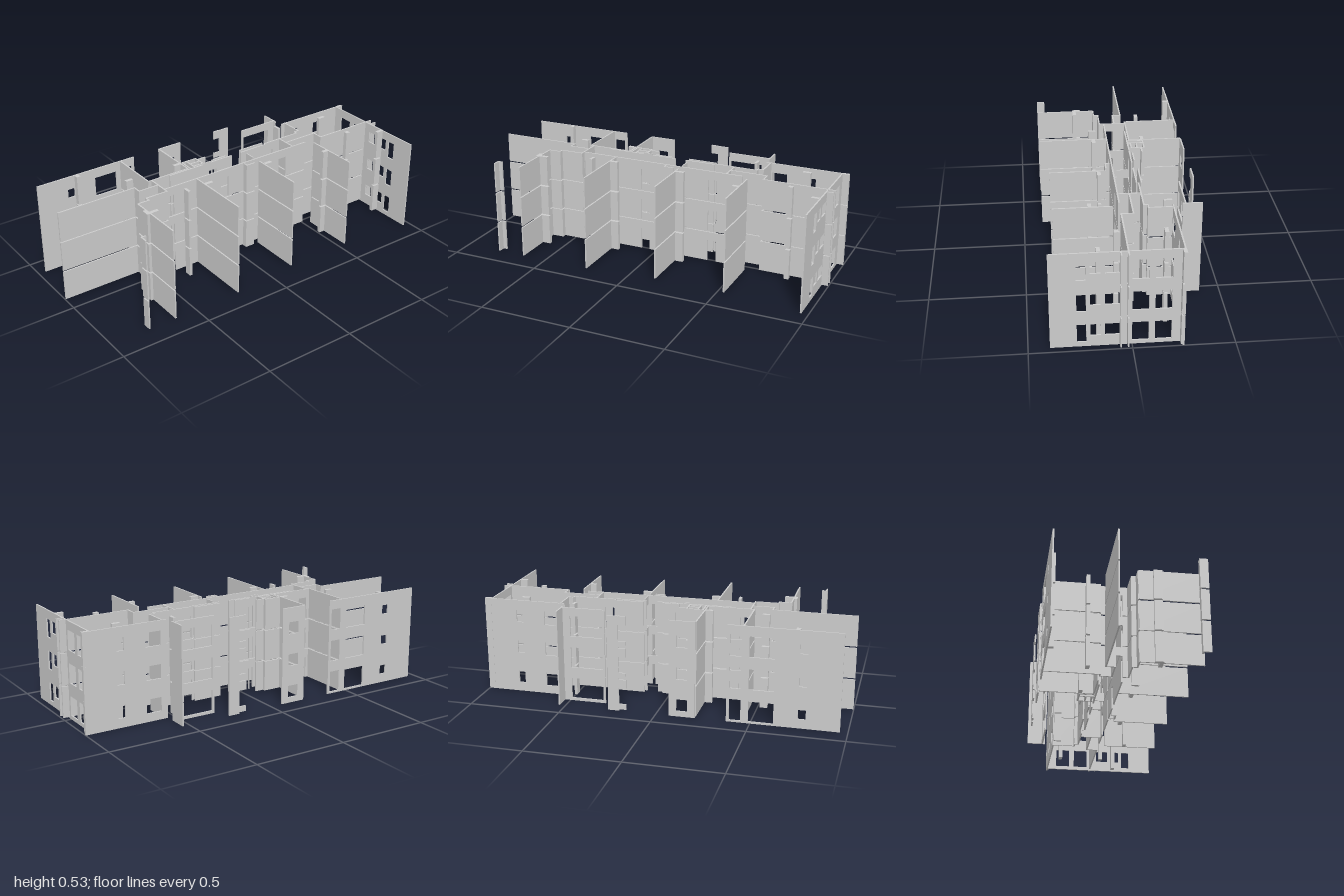
import * as THREE from 'three';

const T = 0.008;                       // wall thickness
const TOP = 0.522;                     // overall wall height
const PITCH = 0.1745, BASE = 0.008, STOREY = 0.166;
const DOOR = 0.118;                    // door height above the storey base
const material = new THREE.MeshStandardMaterial({ color: 0xcccccc, flatShading: true });

export function createModel() {
  const model = new THREE.Group();
  model.name = 'apartmentBlockWalls';

  function add(name, geometry) {
    const mesh = new THREE.Mesh(geometry, material);
    mesh.name = name;
    model.add(mesh);
    return mesh;
  }

  // Stand a wall outline along x (at a fixed z) or along z (at a fixed x)
  function stand(name, axis, at, shape, y) {
    const g = new THREE.ExtrudeGeometry(shape, { depth: T, bevelEnabled: false });
    g.translate(0, y, -T / 2);
    if (axis === 'z') g.rotateY(-Math.PI / 2);
    g.translate(axis === 'z' ? at : 0, 0, axis === 'x' ? at : 0);
    add(name, g);
  }

  // Continuous outer wall; each opening [from, to, sill, head] repeats per storey
  function outerWall(name, axis, at, a, b, openings = []) {
    const s = new THREE.Shape();
    s.moveTo(a, 0).lineTo(b, 0).lineTo(b, TOP).lineTo(a, TOP).closePath();
    for (let k = 0; k < 3; k++) {
      for (const [p, q, lo, hi] of openings) {
        const y = k * PITCH, h = new THREE.Path();
        h.moveTo(p, y + lo).lineTo(p, y + hi).lineTo(q, y + hi).lineTo(q, y + lo).closePath();
        s.holes.push(h);
      }
    }
    stand(name, axis, at, s, 0);
  }

  // Inner wall: one panel per storey, with door notches [from, to] in ascending order
  function innerWall(name, axis, at, a, b, doors = []) {
    for (let k = 0; k < 3; k++) {
      const s = new THREE.Shape();
      s.moveTo(a, 0);
      for (const [p, q] of doors) s.lineTo(p, 0).lineTo(p, DOOR).lineTo(q, DOOR).lineTo(q, 0);
      s.lineTo(b, 0).lineTo(b, STOREY).lineTo(a, STOREY).closePath();
      stand(name, axis, at, s, BASE + k * PITCH);
    }
  }

  // Box repeated on every storey
  function storeyBox(name, x0, x1, z0, z1, lo = 0, hi = STOREY) {
    for (let k = 0; k < 3; k++) {
      add(name, new THREE.BoxGeometry(x1 - x0, hi - lo, z1 - z0))
        .position.set((x0 + x1) / 2, BASE + k * PITCH + (lo + hi) / 2, (z0 + z1) / 2);
    }
  }

  // Outer walls
  outerWall('backWall', 'x', -0.96, -0.249, 0.395, [
    [-0.19, -0.11, 0.02, 0.125], [-0.08, 0.0, 0.02, 0.125],
    [0.06, 0.13, 0.06, 0.125], [0.15, 0.2, 0.06, 0.125], [0.22, 0.265, 0.025, 0.125],
  ]);
  outerWall('backSideWall', 'z', -0.245, -1, -0.54, [
    [-0.82, -0.78, 0.05, 0.118], [-0.66, -0.575, 0.045, 0.12],
  ]);
  outerWall('frontSideWall', 'z', -0.392, 0.375, 0.96, [
    [0.39, 0.45, 0.01, 0.125], [0.49, 0.62, 0.01, 0.12], [0.745, 0.785, 0.05, 0.1],
  ]);
  outerWall('middleSideWall', 'z', -0.392, 0.07, 0.21, [[0.11, 0.17, 0.03, 0.095]]);
  outerWall('bayWall', 'z', -0.31, -0.53, -0.3, [[-0.49, -0.312, 0.015, 0.128]]);
  outerWall('bayReturnWall', 'x', -0.535, -0.396, -0.295);

  // Narrow outer pier with stepped window edges
  outerWall('pierWall', 'z', -0.392, -0.26, -0.2);
  storeyBox('pierLintel', -0.396, -0.388, -0.2, -0.16, 0.118, STOREY);
  storeyBox('pierSill', -0.396, -0.388, -0.2, -0.16, 0, 0.03);

  // Corridor walls
  innerWall('corridorRightWall', 'z', 0.02, -0.5, -0.13, [[-0.36, -0.31]]);
  innerWall('corridorRightWall', 'z', 0.02, -0.115, 0.44, [[0.035, 0.085], [0.385, 0.435]]);
  storeyBox('corridorLintel', 0.016, 0.024, -0.13, -0.115, DOOR, STOREY);
  innerWall('corridorLeftWall', 'z', -0.1, -0.535, -0.3, [[-0.36, -0.31]]);
  innerWall('corridorLeftWall', 'z', -0.09, -0.3, -0.13);
  innerWall('corridorLiningWall', 'z', -0.115, -0.3, -0.14);
  innerWall('corridorLeftWall', 'z', -0.09, -0.07, 0.335, [[0.035, 0.085]]);
  innerWall('corridorLiningWall', 'z', -0.106, -0.04, 0.055, [[0.035, 0.05]]);
  innerWall('corridorLeftWall', 'z', -0.102, 0.21, 0.46, [[0.385, 0.44]]);
  innerWall('corridorBackWall', 'x', -0.41, -0.104, 0.024);
  innerWall('corridorFrontWall', 'x', 0.44, -0.104, 0.049, [[-0.035, 0.017]]);
  storeyBox('corridorCrossLintel', -0.06, 0.0, -0.153, -0.147, DOOR, STOREY);

  // Party walls and partitions: [axis, fixed position, from, to]
  const partitions = [
    ['z', 0.02, -1, -0.61], ['x', -0.615, -0.044, 0.024], ['z', -0.04, -0.615, -0.41],
    ['x', -0.565, -0.249, -0.116], ['z', -0.12, -0.565, -0.535], ['x', -0.535, -0.12, -0.096],
    ['x', 0.212, -0.39, -0.1], ['x', 0.46, -0.39, -0.1],
    ['z', -0.04, 0.44, 0.555], ['x', 0.555, -0.089, -0.036], ['z', -0.085, 0.555, 1],
    ['z', 0.045, 0.44, 0.565], ['x', 0.565, 0.041, 0.074], ['z', 0.07, 0.565, 0.63],
    ['x', 0.63, 0.07, 0.395], ['x', 0.238, 0.02, 0.395],
    ['x', -0.15, 0.055, 0.355], ['x', -0.537, 0.055, 0.355],
    ['x', -0.067, 0.03, 0.058], ['z', 0.054, -0.12, -0.065],
    ['z', 0.355, 0.76, 0.785], ['x', 0.785, 0.351, 0.395],
  ];
  for (const [axis, at, a, b] of partitions) innerWall('partitionWall', axis, at, a, b);

  // Service shaft beside the corridor
  for (const x of [-0.176, -0.138, -0.106]) innerWall('shaftWall', 'z', x, 0.11, x < -0.17 ? 0.2 : 0.175);
  for (const z of [0.112, 0.173, 0.2]) innerWall('shaftCrossWall', 'x', z, -0.18, -0.094);
  innerWall('shaftWing', 'z', -0.16, 0.06, 0.11);

  // Columns: [x0, x1, z0, z1]
  const columns = [
    [0.15, 0.17, -0.956, -0.915], [0.05, 0.073, -0.79, -0.765], [-0.19, -0.17, -0.81, -0.765],
    [-0.247, -0.205, -0.5, -0.485], [0.16, 0.18, -0.535, -0.5], [0.085, 0.105, -0.2, -0.155],
    [0.085, 0.105, 0.19, 0.235], [0.075, 0.115, 0.34, 0.355], [0.17, 0.19, 0.58, 0.627],
    [0.145, 0.19, 0.634, 0.649], [-0.185, -0.165, 0.515, 0.555], [-0.388, -0.36, 0.72, 0.742],
    [-0.185, -0.165, 0.215, 0.255], [-0.25, -0.232, -1, -0.965], [0.052, 0.06, -1, -0.965],
  ];
  for (const c of columns) storeyBox('column', ...c);

  // Small upstand on the corridor wall
  add('roofUpstand', new THREE.BoxGeometry(0.005, 0.012, 0.05)).position.set(-0.088, 0.525, 0.095);

  return model;
}
